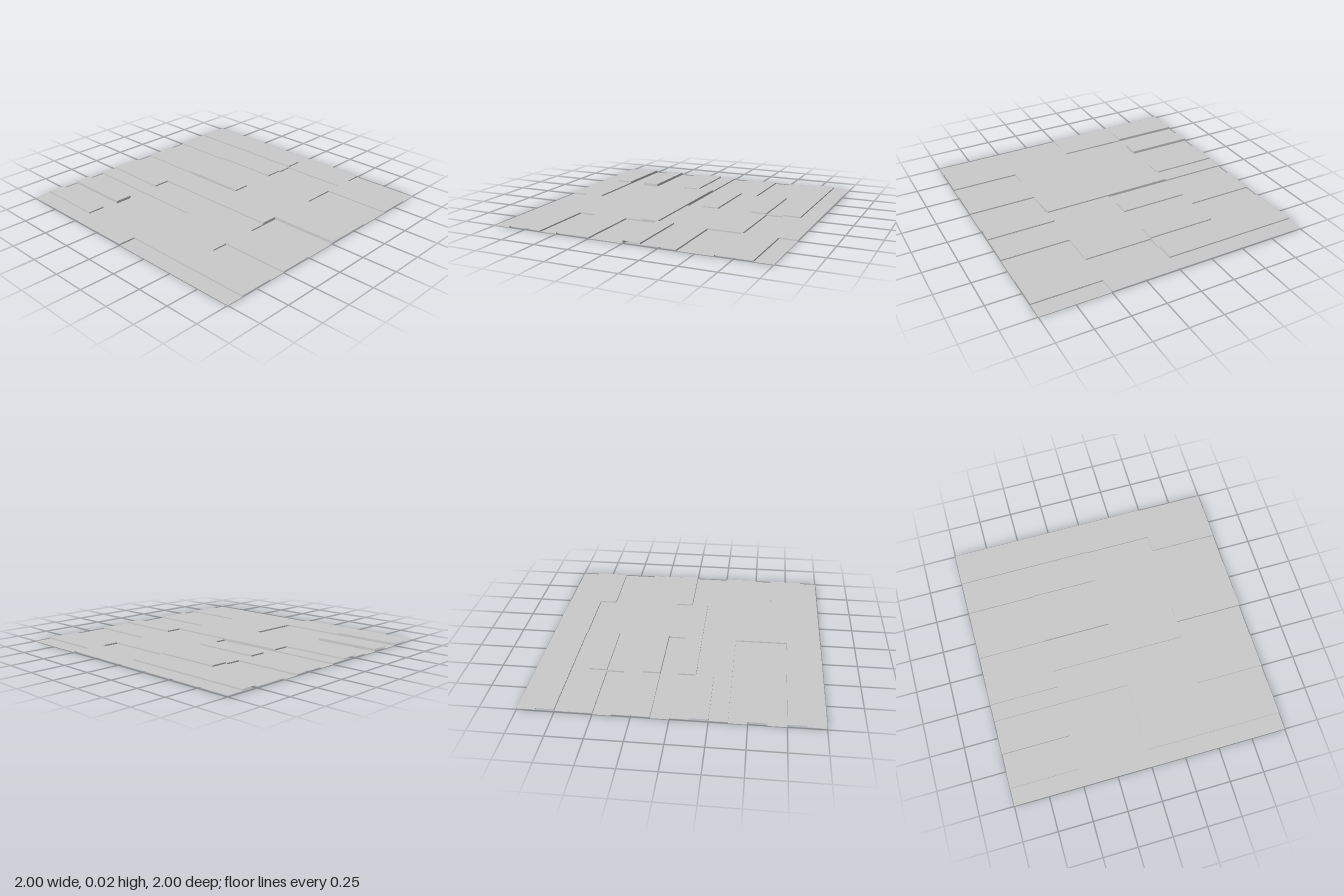
import * as THREE from 'three';

// Board levels, back row to front row, four half-unit bays from -x to +x:
// '+' raised, '.' flush, '-' sunken
const ROWS = [
  '...-', '++..', '..-.', '.+.-', '-..-', '....', '.+..', '--.+',
  '.++-', '+..-', '....', '--..', '+-.-', '--..', '+...', '..--',
];
const BAY = 0.5, DEPTH = 0.125;
const LEVEL = { '-': 0, '.': 0.01, '+': 0.02 };
const NAME = { '-': 'sunkenBoard', '.': 'flushBoard', '+': 'raisedBoard' };

export function createModel() {
  const group = new THREE.Group();
  const material = new THREE.MeshStandardMaterial({
    color: 0xcccccc, flatShading: true, side: THREE.DoubleSide,
  });

  function addPanel(name, width, height, x, y, z, rx, ry) {
    const panel = new THREE.Mesh(new THREE.PlaneGeometry(width, height), material);
    panel.name = name;
    panel.position.set(x, y, z);
    panel.rotation.set(rx, ry, 0);
    group.add(panel);
  }

  ROWS.forEach((row, r) => {
    const z = -1 + (r + 0.5) * DEPTH;

    // Board tops: one panel for each run of equal level
    for (let start = 0, end; start < row.length; start = end) {
      end = start + 1;
      while (row[end] === row[start]) end++;
      const x = -1 + (start + end) / 2 * BAY;
      addPanel(NAME[row[start]], (end - start) * BAY, DEPTH, x, LEVEL[row[start]], z, -Math.PI / 2, 0);
    }

    for (let c = 0; c < row.length; c++) {
      const y = LEVEL[row[c]];

      // Step at the end of a board
      if (c + 1 < row.length && row[c + 1] !== row[c]) {
        const next = LEVEL[row[c + 1]];
        addPanel('endStep', DEPTH, Math.abs(next - y), -1 + (c + 1) * BAY, (y + next) / 2, z,
          0, y > next ? Math.PI / 2 : -Math.PI / 2);
      }

      // Step along the front of a board
      if (r + 1 < ROWS.length && ROWS[r + 1][c] !== row[c]) {
        const next = LEVEL[ROWS[r + 1][c]];
        addPanel('longStep', BAY, Math.abs(next - y), -1 + (c + 0.5) * BAY, (y + next) / 2, z + DEPTH / 2,
          0, y > next ? 0 : Math.PI);
      }
    }
  });
  return group;
}
